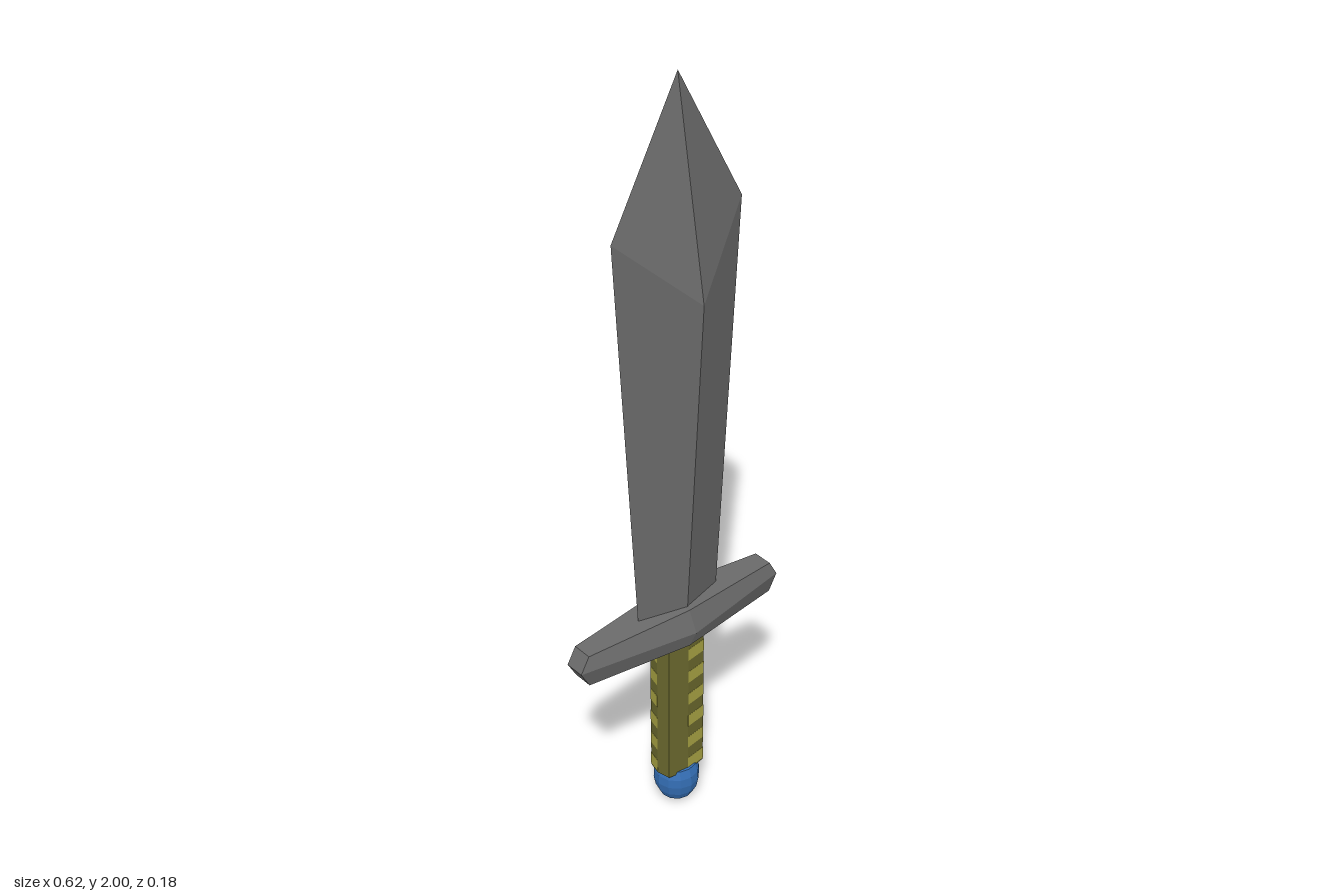
import * as THREE from 'three';

const mat = (color, flatShading = true) => new THREE.MeshStandardMaterial({ color, flatShading });

// Skin a list of equal-length point rings with evenly shaded four-sided facets,
// closing both ends. Each ring runs counter-clockwise around the direction of travel.
function loft(rings) {
  const pos = [], nor = [];
  const vec = (p, q) => new THREE.Vector3(q[0] - p[0], q[1] - p[1], q[2] - p[2]);
  const quad = (a, b, c, d) => {
    const normal = vec(a, c).cross(vec(b, d)).normalize().toArray();
    for (const t of [[a, b, c], [a, c, d]]) {
      if (vec(t[0], t[1]).cross(vec(t[0], t[2])).length() < 1e-9) continue;
      for (const p of t) {
        pos.push(...p);
        nor.push(...normal);
      }
    }
  };
  const n = rings[0].length;
  for (let i = 0; i < rings.length - 1; i++) {
    const r0 = rings[i], r1 = rings[i + 1];
    for (let j = 0; j < n; j++) {
      const k = (j + 1) % n;
      quad(r0[j], r0[k], r1[k], r1[j]);
    }
  }
  const first = rings[0], last = rings[rings.length - 1];
  for (let j = 1; j < n - 1; j += 2) {
    quad(first[0], first[j + 2], first[j + 1], first[j]);
    quad(last[0], last[j], last[j + 1], last[j + 2]);
  }
  const g = new THREE.BufferGeometry();
  g.setAttribute('position', new THREE.Float32BufferAttribute(pos, 3));
  g.setAttribute('normal', new THREE.Float32BufferAttribute(nor, 3));
  return g;
}

// Vertical prism from an x,z outline
function prism(points, y, height) {
  const shape = new THREE.Shape(points.map(([x, z]) => new THREE.Vector2(x, -z)));
  const g = new THREE.ExtrudeGeometry(shape, { depth: height, bevelEnabled: false });
  return g.rotateX(-Math.PI / 2).translate(0, y, 0);
}

export function createModel() {
  const model = new THREE.Group();
  const add = (name, geometry, material, parent = model) => {
    const mesh = new THREE.Mesh(geometry, material);
    mesh.name = name;
    parent.add(mesh);
    return mesh;
  };
  const steel = mat(0x6a6a6a, false);

  // Blade: diamond sections, with the ridge ending lower than the edges
  const diamond = (hx, hz, yEdge, yRidge) => [
    [hx, yEdge, 0], [0, yRidge, -hz], [-hx, yEdge, 0], [0, yRidge, hz],
  ];
  add('blade', loft([
    diamond(0.122, 0.036, 0.6, 0.6),
    diamond(0.185, 0.089, 1.655, 1.48),
    diamond(0, 0, 2, 2),
  ]), steel).position.x = 0.006;

  // Crossguard: hexagonal sections tapering to wedge-shaped ends
  const hexagon = (xMid, xFlat, zMid, zFlat, hy) => [
    [xMid, 0, zMid], [xFlat, -hy, zFlat], [xFlat, -hy, -zFlat],
    [xMid, 0, -zMid], [xFlat, hy, -zFlat], [xFlat, hy, zFlat],
  ];
  add('crossguard', loft([
    hexagon(-0.31, -0.286, 0.026, 0.026, 0.043),
    hexagon(0, 0, 0.08, 0.054, 0.054),
    hexagon(0.31, 0.286, 0.026, 0.026, 0.043),
  ]), steel).position.set(0, 0.575, -0.002);

  // Grip: flattened octagonal prism
  const grip = new THREE.Group();
  grip.name = 'grip';
  grip.position.x = 0.005;
  model.add(grip);
  const quarter = [[0, 0.043], [0.056, 0.035], [0.064, 0]];
  const outline = [
    ...quarter, [0.056, -0.035], [0, -0.043], [-0.056, -0.035], [-0.064, 0], [-0.056, 0.035],
  ];
  add('gripCore', prism(outline, 0.11, 0.43), mat(0x69672d), grip);

  // Light bands on two opposite corners of the grip
  const bandOutline = [[0, 0], ...quarter.map(([x, z]) => [x * 1.01, z * 1.01])];
  const light = mat(0xa8a343);
  for (const turn of [0, Math.PI]) {
    for (let i = 0; i < 6; i++) {
      add('gripBand', prism(bandOutline, 0.115 + i * 0.07, 0.035), light, grip).rotation.y = turn;
    }
  }

  // Pommel: rounded knob with a flattened top
  const profile = [
    [0, 0], [0.024, 0.006], [0.043, 0.022], [0.054, 0.044],
    [0.059, 0.07], [0.058, 0.095], [0.05, 0.118], [0, 0.126],
  ].map(([x, y]) => new THREE.Vector2(x, y));
  add('pommel', new THREE.LatheGeometry(profile, 12), mat(0x346eb4)).position.x = 0.003;

  return model;
}
